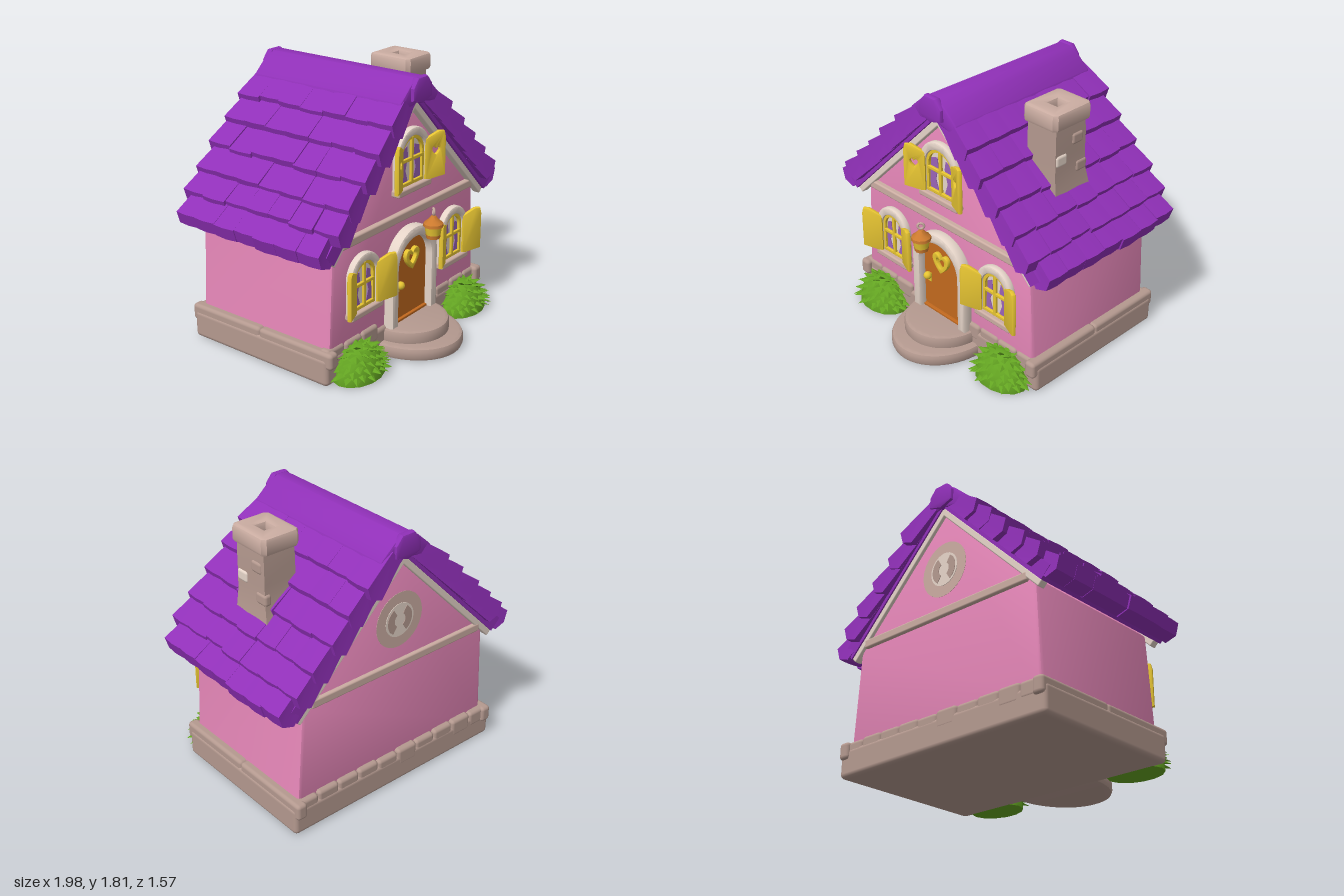
import * as THREE from 'three';
import { toCreasedNormals } from 'three/addons/utils/BufferGeometryUtils.js';
import { RoundedBoxGeometry } from 'three/addons/geometries/RoundedBoxGeometry.js';

const mat = (name, color) => Object.assign(new THREE.MeshStandardMaterial({ color }), { name });
const M = {
  pink: mat('wallPink', 0xee8cbf), purple: mat('roofPurple', 0x9030b8), stone: mat('stone', 0xb4998f),
  cream: mat('cream', 0xe6d5c9), taupe: mat('taupe', 0xcbada2), yellow: mat('yellow', 0xeecb34),
  door: mat('doorOrange', 0xc2691e), green: mat('leafGreen', 0x64a522),
  curtain: mat('curtainViolet', 0x9a64b8), copper: mat('copper', 0xcc7a2e),
};

let seed = 7;
const rnd = () => ((seed = (seed * 16807) % 2147483647) / 2147483647);
const jit = (a) => (rnd() - 0.5) * 2 * a;

function add(parent, name, geo, material, x = 0, y = 0, z = 0) {
  const m = new THREE.Mesh(geo, material);
  m.name = name;
  m.position.set(x, y, z);
  parent.add(m);
  return m;
}
function group(parent, name, x = 0, y = 0, z = 0) {
  const g = new THREE.Group();
  g.name = name;
  g.position.set(x, y, z);
  parent.add(g);
  return g;
}
function box(parent, name, material, w, h, d, x, y, z, r = 0.012) {
  return add(parent, name, new RoundedBoxGeometry(w, h, d, 2, r), material, x, y, z);
}
const poly = (pts) => new THREE.Shape(pts.map(([x, y]) => new THREE.Vector2(x, y)));
// Extrudes a shape so that its back is at z = 0 and its front at z = depth
function extrude(shape, depth, bevel = 0) {
  const g = new THREE.ExtrudeGeometry(shape, {
    depth: depth - 2 * bevel, bevelEnabled: bevel > 0, bevelThickness: bevel,
    bevelSize: bevel, bevelOffset: -bevel, bevelSegments: 2, curveSegments: 14,
  });
  g.translate(0, 0, bevel);
  return toCreasedNormals(g, 0.6);
}
// Round-topped panel standing on y = 0
function arch(half, height) {
  const s = new THREE.Shape();
  s.moveTo(-half, 0);
  s.lineTo(half, 0);
  s.absarc(0, height - half, half, 0, Math.PI);
  s.closePath();
  return s;
}
// Open-bottomed arched band between an outer and an inner outline
function archBand(outer, outerH, inner, innerH) {
  const s = new THREE.Shape();
  s.moveTo(inner, 0);
  s.lineTo(outer, 0);
  s.absarc(0, outerH - outer, outer, 0, Math.PI);
  s.lineTo(-outer, 0);
  s.lineTo(-inner, 0);
  s.absarc(0, innerH - inner, inner, Math.PI, 0, true);
  s.closePath();
  return s;
}
function heart(w, T = THREE.Shape, cx = 0, cy = 0) {
  const s = new T();
  s.moveTo(cx, cy - w * 0.5);
  s.bezierCurveTo(cx + w * 0.25, cy - w * 0.3, cx + w * 0.55, cy, cx + w * 0.48, cy + w * 0.28);
  s.bezierCurveTo(cx + w * 0.4, cy + w * 0.55, cx + w * 0.08, cy + w * 0.5, cx, cy + w * 0.24);
  s.bezierCurveTo(cx - w * 0.08, cy + w * 0.5, cx - w * 0.4, cy + w * 0.55, cx - w * 0.48, cy + w * 0.28);
  s.bezierCurveTo(cx - w * 0.55, cy, cx - w * 0.25, cy - w * 0.3, cx, cy - w * 0.5);
  return s;
}

function addWindow(root, name, x, y, half, height, hearts) {
  const g = group(root, name, x, y, 0.375);
  add(g, 'pane', extrude(arch(half, height), 0.015), M.cream);
  add(g, 'frame', extrude(archBand(half + 0.045, height + 0.05, half - 0.005, height - 0.005), 0.05, 0.012), M.cream);
  add(g, 'sash', extrude(archBand(half, height, half - 0.025, height - 0.025), 0.035), M.yellow);
  box(g, 'sashBottom', M.yellow, half * 2, 0.025, 0.035, 0, 0.0125, 0.0185, 0.005);
  box(g, 'mullion', M.yellow, 0.024, height - 0.02, 0.02, 0, height / 2, 0.027, 0.005);
  box(g, 'crossbar', M.yellow, half * 2 - 0.02, 0.024, 0.02, 0, height * 0.52, 0.027, 0.005);
  box(g, 'sill', M.taupe, half * 2 + 0.1, 0.045, 0.07, 0, -0.022, 0.03);
  for (const s of [-1, 1]) {
    const curtain = poly([[s * (half - 0.02), 0.025], [s * 0.03, 0.025], [s * 0.055, height * 0.3],
      [s * 0.03, height * 0.6], [s * 0.04, height * 0.78], [s * (half - 0.035), height * 0.72]]);
    add(g, 'curtain', extrude(curtain, 0.005), M.curtain, 0, 0, 0.0155);
    // Shutters swing open towards the front
    const sh = poly([[0, -0.01], [s * 0.15, 0.01], [s * 0.15, 0.27], [s * 0.14, 0.31], [s * 0.1, 0.315], [0, 0.27]]);
    if (hearts) sh.holes.push(heart(0.055, THREE.Path, s * 0.078, 0.185));
    const m = add(g, 'shutter', extrude(sh, 0.03, 0.008), M.yellow, s * (half + 0.003), 0, 0.025);
    m.rotation.y = -s * 0.45;
  }
}

function addRoof(root) {
  const roof = group(root, 'roof');
  const ends = [0.3, 0.49, 0.69, 0.88, 1.05, 1.205];
  for (const s of [-1, 1]) {
    // Local x runs down the slope, local y is the slope's normal
    const side = group(roof, s > 0 ? 'leftSlope' : 'rightSlope', 0, 1.655, 0);
    side.rotation.z = -s * Math.PI / 4;
    add(side, 'roofSlab', new THREE.BoxGeometry(1.17, 0.1, 1.17), M.purple, s * 0.585, 0.05, -0.145);
    for (const z of [0.395, -0.695]) box(side, 'gableTrim', M.cream, 1.17, 0.045, 0.055, s * 0.585, -0.02, z, 0.008);
    ends.forEach((end, row) => {
      const n = 7, last = row === 5;
      const zMax = last ? 0.44 : 0.49, zMin = last ? -0.74 : -0.775, w = (zMax - zMin) / n;
      for (let k = 0; k < n; k++) {
        const e = end + jit(0.01), lift = 0.178 + jit(0.006), skew = jit(0.006);
        const mid = zMin + (k + 0.5) * w + (k === 0 || k === n - 1 ? jit(0.012) : 0);
        const g = new THREE.BoxGeometry(1, 1, 1, 2, 2, 2);
        const p = g.attributes.position;
        for (let i = 0; i < p.count; i++) {
          // t runs to the lower end, which bulges out at mid thickness
          const t = s * p.getX(i) + 0.5, h = p.getY(i) + 0.5, zc = p.getZ(i);
          const u = e - 0.27 + t * 0.27 - t * Math.abs(zc) * 0.012 + (t === 1 && h === 0.5 ? 0.04 : 0);
          const top = 0.13 + (lift - 0.13) * t + (zc === 0 ? 0.004 : 0);
          const v = 0.025 + h * (top - 0.025) + skew * zc;
          const z = mid + zc * w * 1.03;
          p.setXYZ(i, s * u, v, -0.145 + (z + 0.145) * (0.94 + 0.06 * t));
        }
        add(side, 'shingle', toCreasedNormals(g, 0.75), M.purple);
      }
    });
  }
  const cap = poly([[-0.22, 1.6], [0, 1.65], [0.22, 1.6], [0.2, 1.675], [0.1, 1.765], [0.04, 1.805], [-0.04, 1.805], [-0.1, 1.765], [-0.2, 1.675]]);
  add(roof, 'ridgeCap', extrude(cap, 1.2, 0.015), M.purple, 0, 0, -0.74);
  for (const z of [0.435, -0.76]) {
    const end = poly([[-0.1, 1.67], [0, 1.64], [0.1, 1.67], [0.1, 1.75], [0.05, 1.81], [-0.05, 1.81], [-0.1, 1.75]]);
    add(roof, 'ridgeEnd', extrude(end, 0.05, 0.015), M.purple, 0, 0, z);
  }
}

function addChimney(root) {
  const g = group(root, 'chimney', 0.53, 0, -0.075);
  const col = new THREE.BoxGeometry(0.23, 0.6, 0.26, 1, 5, 1);
  const p = col.attributes.position;
  for (let i = 0; i < p.count; i++) {
    const k = 1 + 0.3 * Math.max(0, -p.getY(i) / 0.3) + 0.03 * Math.sin(p.getY(i) * 40);
    p.setX(i, p.getX(i) * k);
    p.setZ(i, p.getZ(i) * k - (k - 1) * 0.1);
  }
  add(g, 'chimneyColumn', toCreasedNormals(col, 0.6), M.stone, 0, 1.4, 0);
  [[0.1, 1.45, 0.08], [0.1, 1.56, -0.06], [0.1, 1.36, -0.1], [-0.09, 1.5, 0.08], [-0.09, 1.58, -0.08]].forEach(([x, y, z], i) =>
    box(g, 'chimneyStone', i ? M.stone : M.cream, 0.055, 0.08, 0.1, x, y, z, 0.02));
  const cap = poly([[-0.14, -0.14], [-0.115, -0.165], [0.115, -0.165], [0.14, -0.14], [0.14, 0.14], [0.115, 0.165], [-0.115, 0.165], [-0.14, 0.14]]);
  cap.holes.push(new THREE.Path([[-0.035, -0.04], [-0.035, 0.04], [0.035, 0.04], [0.035, -0.04]].map(([x, y]) => new THREE.Vector2(x, y))));
  add(g, 'chimneyCap', extrude(cap, 0.12, 0.025), M.taupe, 0, 1.66, 0).rotation.x = -Math.PI / 2;
}

function addFoundation(root) {
  const g = group(root, 'foundation');
  box(g, 'base', M.stone, 1.72, 0.19, 1.14, 0, 0.095, -0.17, 0.03);
  const stone = (x, z, w, d) => box(g, 'foundationStone', M.stone, w, 0.12 + jit(0.012), d, x, 0.175, z, 0.025);
  for (let i = 0; i < 10; i++) {
    const x = -0.75 + i * 0.1667;
    for (const z of [0.36, -0.7]) if (z < 0 || Math.abs(x) > 0.25) stone(x, z + jit(0.006), 0.168, 0.08);
  }
  for (const s of [-1, 1]) for (const z of [0.13, -0.46]) stone(s * 0.814, z, 0.08, 0.6);
  // Half-round front steps
  [[0.33, 0.09, 0.40, 0], [0.275, 0.17, 0.29, 0.05]].forEach(([r, h, dz, y0]) => {
    const s = new THREE.Shape();
    s.moveTo(-r, 0.1);
    s.absellipse(0, 0, r, dz, Math.PI, Math.PI * 2, false);
    s.lineTo(r, 0.1);
    add(g, 'step', extrude(s, h - y0, 0.025), M.stone, 0, y0, 0.38).rotation.x = -Math.PI / 2;
  });
}

function addBush(root, x) {
  const g = group(root, 'bush', x, 0, 0.44);
  const dome = new THREE.SphereGeometry(1, 14, 6, 0, Math.PI * 2, 0, Math.PI / 2);
  add(g, 'bushCore', dome, M.green).scale.set(0.2, 0.215, 0.145);
  add(g, 'bushBottom', new THREE.CircleGeometry(1, 14).rotateX(Math.PI / 2), M.green, 0, 0.001, 0).scale.set(0.2, 1, 0.145);
  // Broad flat leaves hang outwards and down like scales
  const leaf = toCreasedNormals(new THREE.ConeGeometry(0.045, 0.1, 4).scale(1, 1, 0.4), 0.1);
  for (let i = 0; i < 80; i++) {
    const h = 0.08 + 0.9 * (i / 79), r = Math.sqrt(1 - h * h), a = i * 2.39996;
    const n = new THREE.Vector3(Math.cos(a) * r, h, Math.sin(a) * r);
    const m = add(g, 'leaf', leaf, M.green, n.x * 0.2, 0.015 + n.y * 0.2, n.z * 0.145);
    const tip = new THREE.Vector3(n.x, n.y * 0.3 - 0.3 * r, n.z).normalize();
    const wide = new THREE.Vector3(-Math.sin(a), jit(0.3), Math.cos(a)).cross(tip).normalize().cross(tip).negate();
    m.quaternion.setFromRotationMatrix(new THREE.Matrix4().makeBasis(wide, tip, wide.clone().cross(tip)));
    m.position.y = Math.max(m.position.y, 0.045);
  }
}

function addDoor(root) {
  const g = group(root, 'entrance', 0, 0.165, 0.37);
  add(g, 'door', extrude(arch(0.19, 0.58), 0.03), M.door);
  add(g, 'doorFrame', extrude(archBand(0.25, 0.65, 0.182, 0.575), 0.085, 0.02), M.cream);
  const ring = heart(0.15);
  ring.holes.push(heart(0.08, THREE.Path, 0, 0.003));
  add(g, 'doorHeart', extrude(ring, 0.03, 0.004), M.yellow, 0, 0.42, 0.028);
  add(g, 'doorKnob', new THREE.SphereGeometry(0.028, 12, 8), M.yellow, -0.13, 0.27, 0.055);
  box(g, 'knobPlate', M.yellow, 0.03, 0.07, 0.01, -0.13, 0.25, 0.033, 0.004);
  box(g, 'threshold', M.door, 0.36, 0.02, 0.04, 0, 0.012, 0.03, 0.005);
}

function addLantern(root) {
  const g = group(root, 'lantern', 0, 0.77, 0.58);
  const lathe = (name, pts, m) => add(g, name,
    toCreasedNormals(new THREE.LatheGeometry(pts.map(([x, y]) => new THREE.Vector2(x, y)), 10), 0.7), m);
  lathe('lanternBase', [[0, 0], [0.045, 0], [0.048, 0.025], [0, 0.025]], M.copper);
  lathe('lanternGlass', [[0, 0.02], [0.047, 0.02], [0.058, 0.09], [0, 0.09]], M.yellow);
  lathe('lanternRoof', [[0, 0.08], [0.066, 0.08], [0.064, 0.1], [0.035, 0.125], [0.015, 0.15], [0, 0.15]], M.copper);
  add(g, 'lanternRing', new THREE.TorusGeometry(0.02, 0.009, 6, 12), M.taupe, 0, 0.178, 0).rotation.y = 0.8;
}

function addBackVent(root) {
  const g = group(root, 'backVent', 0, 1.21, -0.698);
  g.rotation.y = Math.PI;
  const disc = (r) => extrude(new THREE.Shape().absarc(0, 0, r, 0, Math.PI * 2), 0.004);
  add(g, 'ventSurround', disc(0.19), M.taupe);
  add(g, 'ventDisc', disc(0.115), M.cream, 0, 0, 0.003);
  for (const s of [0, Math.PI]) {
    const slot = new THREE.Shape();
    slot.absarc(0, 0, 0.1, s - 1, s + 1, false);
    slot.absarc(0, 0, 0.045, s + 1, s - 1, true);
    add(g, 'ventSlot', extrude(slot, 0.004), M.stone, 0, 0, 0.006);
  }
}

export function createModel() {
  const root = new THREE.Group();
  root.name = 'cottage';
  // House body with gables
  const wall = poly([[-0.81, 0.1], [0.81, 0.1], [0.765, 0.87], [0, 1.635], [-0.765, 0.87]]);
  add(root, 'walls', extrude(wall, 1.08, 0.025), M.pink, 0, 0, -0.7);
  for (const z of [0.385, -0.695]) box(root, 'gableBeam', M.taupe, 1.42, 0.06, 0.06, 0, 0.9, z);
  addFoundation(root);
  addRoof(root);
  addChimney(root);
  addDoor(root);
  addLantern(root);
  addWindow(root, 'leftWindow', 0.49, 0.42, 0.11, 0.32, false);
  addWindow(root, 'rightWindow', -0.49, 0.42, 0.11, 0.32, false);
  addWindow(root, 'gableWindow', 0, 1.095, 0.13, 0.33, true);
  addBackVent(root);
  for (const s of [-1, 1]) addBush(root, s * 0.59);
  return root;
}
